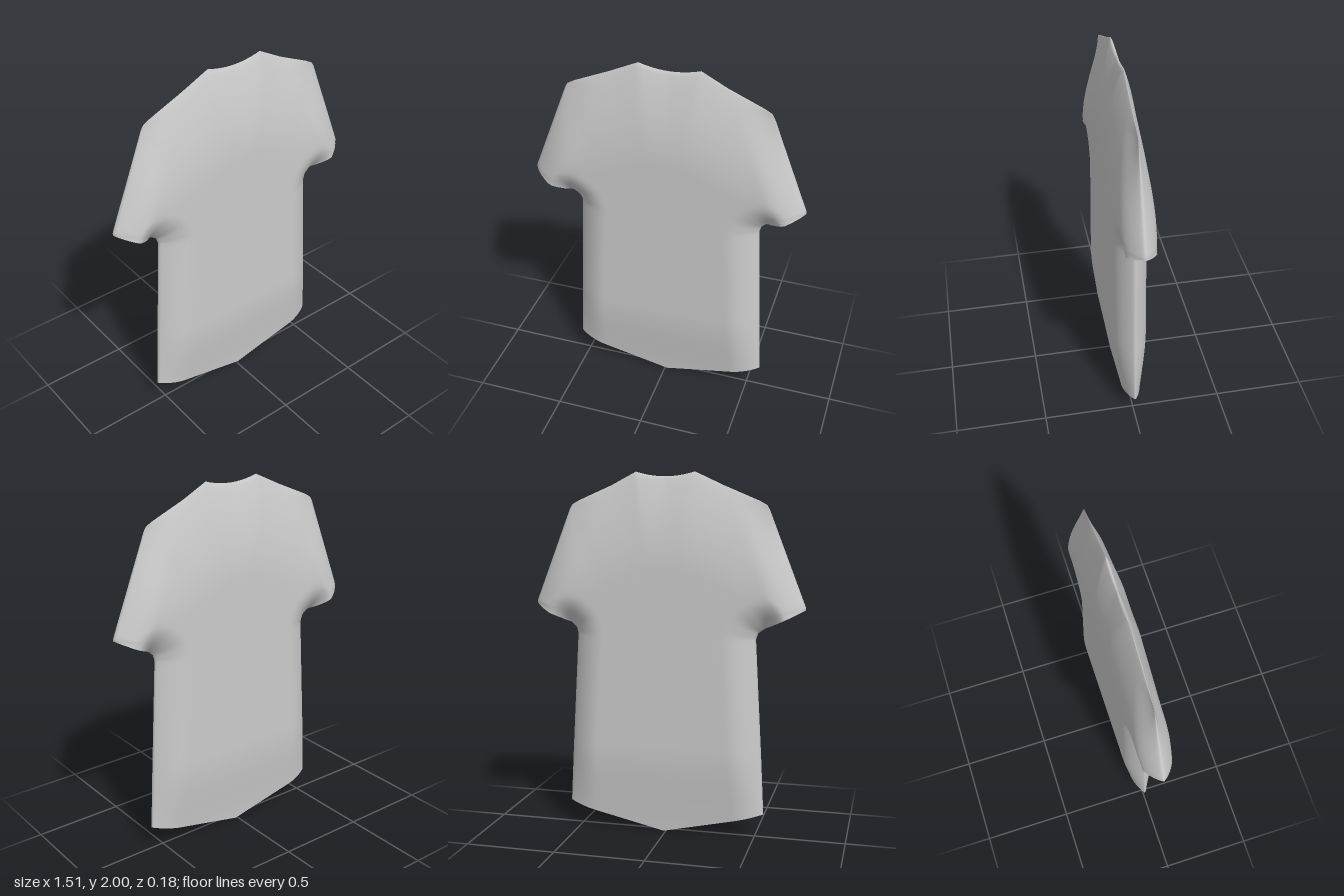
import * as THREE from 'three';
import { mergeGeometries, mergeVertices } from 'three/addons/utils/BufferGeometryUtils.js';

// Half outline from hem corner to neck: [x, y, centre-line y, x offset, rows to next point]
const OUTLINE = [
  [0.56, 0.13, 0.00, 0.012, 12],
  [0.543, 0.45, 0.40, 0.012, 18],
  [0.504, 1.11, 1.08, 0.012, 3],
  [0.515, 1.145, 1.13, 0.01, 3],
  [0.55, 1.172, 1.17, 0.005, 3], // armpit seam ends, cuff opening begins
  [0.60, 1.20, 1.22, 0, 8],
  [0.755, 1.275, 1.38, 0, 1],    // cuff opening ends
  [0.755, 1.29, 1.40, 0, 20],
  [0.555, 1.80, 1.75, 0, 3],
  [0.54, 1.825, 1.79, 0, 3],
  [0.50, 1.847, 1.82, 0, 8],
  [0.31, 1.928, 1.90, 0.003, 8],
  [0.163, 2.00, 1.975, 0.012, 0],
];
const CENTRE_X = 0.012;
const COLUMNS = 64;

const edgePoint = (k, side) => new THREE.Vector3(side * OUTLINE[k][0] + OUTLINE[k][3], OUTLINE[k][1], 0);

// Sewn edges, as line segments
const sideSeams = [], topSeams = [];
for (const side of [-1, 1]) {
  for (let k = 0; k < OUTLINE.length - 1; k++) {
    if (k === 4 || k === 5) continue; // open cuff
    (k < 9 ? sideSeams : topSeams).push(new THREE.Line3(edgePoint(k, side), edgePoint(k + 1, side)));
  }
  topSeams.push(new THREE.Line3(edgePoint(OUTLINE.length - 1, side), new THREE.Vector3(CENTRE_X, 1.975, 0)));
}

const nearest = new THREE.Vector3();
function distanceTo(seams, p) {
  return Math.min(...seams.map((s) => s.closestPointToPoint(p, true, nearest).distanceTo(p)));
}
const swell = (d, width, power) => Math.pow(Math.sin(Math.min(d / width, 1) * Math.PI / 2), power);

// Padding depth: zero at the seams, full in the middle, narrowing to the hem
function depth(p) {
  const hem = 0.42 + 0.58 * THREE.MathUtils.smoothstep(p.y, -0.1, 0.5);
  return 0.09 * hem * swell(distanceTo(sideSeams, p), 0.17, 0.8) * swell(distanceTo(topSeams, p), 0.5, 0.85);
}

// Rows run from one edge to the centre line and on to the other edge
function outlineRows() {
  const rows = [];
  OUTLINE.forEach((a, k) => {
    const b = OUTLINE[k + 1] || a;
    for (let i = 0; i < Math.max(a[4], 1); i++) {
      rows.push(a.slice(0, 4).map((v, n) => THREE.MathUtils.lerp(v, b[n], i / Math.max(a[4], 1))));
    }
  });
  return rows;
}

function panel(facing) {
  const rows = outlineRows(), positions = [], index = [], p = new THREE.Vector3();
  rows.forEach(([x, y, centreY, offset], j) => {
    const curve = 1 + THREE.MathUtils.smoothstep(centreY, 1.8, 1.975); // rounds the neckline
    for (let i = 0; i <= COLUMNS; i++) {
      const u = 2 * i / COLUMNS - 1, side = Math.sign(u);
      // Columns crowd towards the edges
      const t = 0.4 * Math.abs(u) + 0.6 * Math.sin(Math.abs(u) * Math.PI / 2);
      p.set(THREE.MathUtils.lerp(CENTRE_X, side * x + offset, t), centreY + (y - centreY) * Math.pow(t, curve), 0);
      const onTop = j === rows.length - 1;
      const onSide = Math.abs(u) === 1 && (p.y < 1.1725 || p.y > 1.274);
      positions.push(p.x, p.y, onTop || onSide ? 0 : facing * depth(p));
      if (i < COLUMNS && !onTop) {
        const a = j * (COLUMNS + 1) + i, b = a + 1, c = a + COLUMNS + 1, d = c + 1;
        if (facing > 0) index.push(a, b, d, a, d, c);
        else index.push(a, d, b, a, c, d);
      }
    }
  });
  const geometry = new THREE.BufferGeometry();
  geometry.setAttribute('position', new THREE.Float32BufferAttribute(positions, 3));
  geometry.setIndex(index);
  return geometry;
}

export function createModel() {
  const group = new THREE.Group();
  group.name = 'shirt';
  // Front and back panels welded along their seams
  const cloth = mergeVertices(mergeGeometries([panel(1), panel(-1)]), 1e-4);
  cloth.computeVertexNormals();
  const shell = new THREE.Mesh(cloth, new THREE.MeshStandardMaterial({ color: 0xcccccc, side: THREE.DoubleSide }));
  shell.name = 'shirtCloth';
  group.add(shell);
  return group;
}
